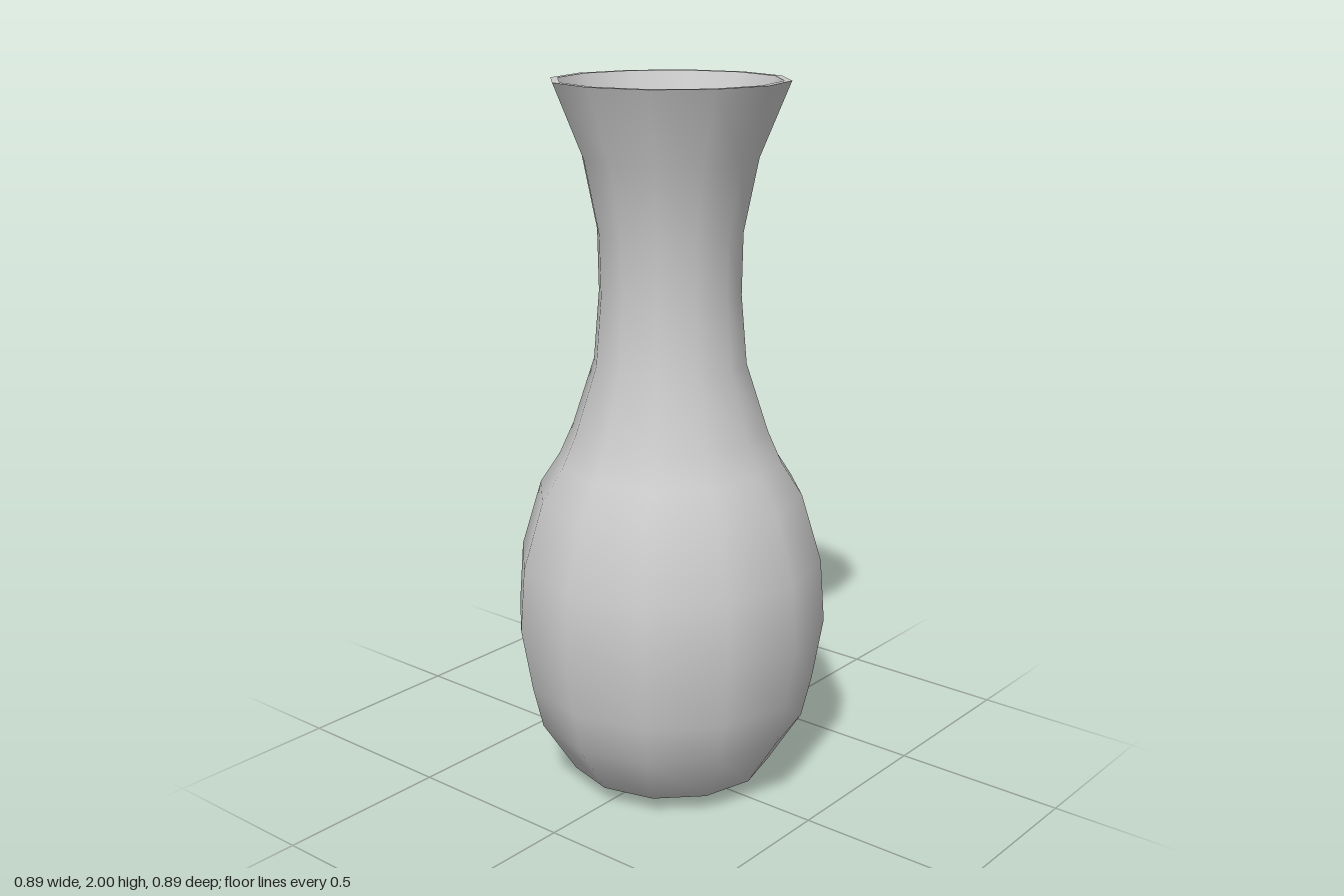
import * as THREE from 'three';

const SIDES = 12;

export function createModel() {
  const group = new THREE.Group();
  group.name = 'vase';
  const material = new THREE.MeshStandardMaterial({ color: 0xcccccc });

  // Each part is a 12-sided turned surface from [radius, height] pairs
  const turn = (name, profile) => {
    const points = profile.map(([r, y]) => new THREE.Vector2(r, y));
    const mesh = new THREE.Mesh(new THREE.LatheGeometry(points, SIDES), material);
    mesh.name = name;
    group.add(mesh);
  };

  // Outer wall: rounded belly, slim neck, flared mouth
  turn('outerWall', [
    [0.19, 0], [0.29, 0.05], [0.385, 0.2], [0.413, 0.32], [0.443, 0.5],
    [0.43, 0.68], [0.373, 0.87], [0.315, 0.96], [0.275, 1.05], [0.213, 1.24],
    [0.197, 1.43], [0.2, 1.6], [0.24, 1.8], [0.322, 2],
  ]);

  // Flat lip, underside and the floor of the hollow
  turn('rim', [[0.322, 2], [0.302, 2]]);
  turn('base', [[0, 0], [0.19, 0]]);
  turn('innerFloor', [[0.26, 0.08], [0, 0.08]]);

  // Inner wall, from the lip down to the floor
  turn('innerWall', [
    [0.302, 2], [0.215, 1.8], [0.16, 1.6], [0.133, 1.43], [0.155, 1.24],
    [0.22, 1.05], [0.33, 0.87], [0.39, 0.68], [0.4, 0.5], [0.35, 0.22], [0.26, 0.08],
  ]);

  return group;
}
